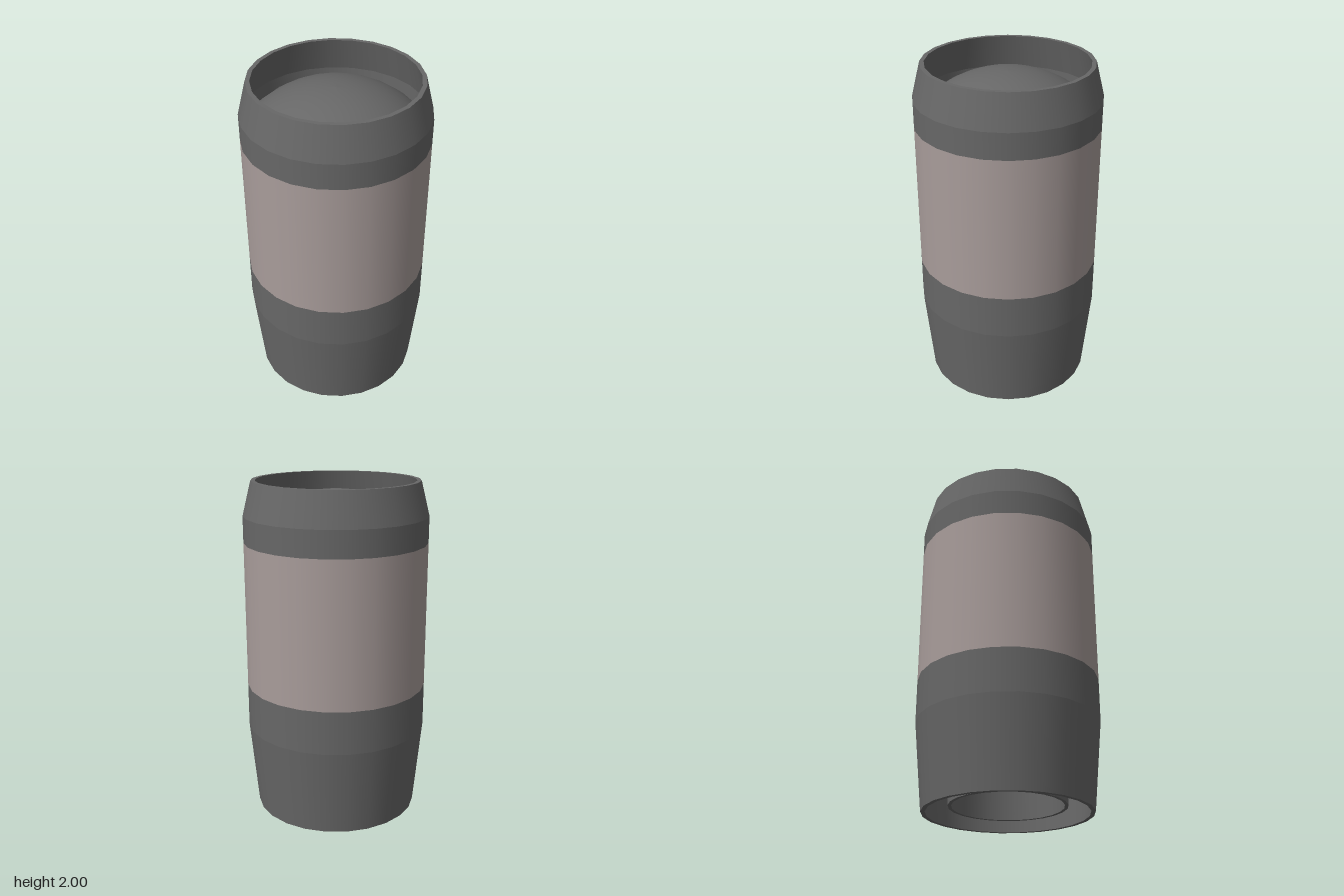
import * as THREE from 'three';
import { mergeGeometries } from 'three/addons/utils/BufferGeometryUtils.js';

const SIDES = 24;

// Lathe whose profile corners stay sharp: one smooth strip per profile segment
function sharpLathe(profile) {
  const strips = [];
  for (let i = 0; i < profile.length - 1; i++) {
    const pair = [profile[i], profile[i + 1]].map(([r, y]) => new THREE.Vector2(r, y));
    strips.push(new THREE.LatheGeometry(pair, SIDES));
  }
  return mergeGeometries(strips);
}

// Spherical cap profile running from the rim (radius r, height y) to the axis
function capProfile(r, y, rise, steps) {
  const R = (r * r + rise * rise) / (2 * rise);
  const a = Math.asin(r / R);
  const points = [];
  for (let i = 0; i <= steps; i++) {
    const t = a * (1 - i / steps);
    points.push(new THREE.Vector2(R * Math.sin(t), y + rise - R + R * Math.cos(t)));
  }
  return points;
}

export function createModel() {
  const model = new THREE.Group();
  model.name = 'lensBarrel';

  const darkGrey = new THREE.MeshStandardMaterial({ color: 0x676767 });
  darkGrey.name = 'dark grey';
  const warmGrey = new THREE.MeshStandardMaterial({ color: 0xa89c9a });
  warmGrey.name = 'warm grey';

  const add = (name, geometry, material) => {
    const mesh = new THREE.Mesh(geometry, material);
    mesh.name = name;
    model.add(mesh);
  };

  // Lower housing: recess ceiling, recess wall, bottom lip, tapered outside, straight collar
  add('lowerHousing', sharpLathe([
    [0.33, 0.52], [0.515, 0.52], [0.465, 0], [0.49, 0], [0.54, 0.52], [0.54, 0.78],
  ]), darkGrey);

  // Grip band, flush with the housing
  add('gripBand', sharpLathe([[0.54, 0.78], [0.54, 1.645]]), warmGrey);

  // Upper housing: collar, tapered outside, top lip and hollow inside
  add('upperHousing', sharpLathe([
    [0.54, 1.645], [0.54, 1.8], [0.49, 2], [0.465, 2], [0.515, 1.8], [0.515, 1.71],
  ]), darkGrey);

  // Domed front lens
  add('frontLens', new THREE.LatheGeometry(capProfile(0.515, 1.715, 0.23, 10), SIDES), darkGrey);

  // Inner tube in the bottom recess
  add('innerTube', sharpLathe([
    [0.32, 0.45], [0.32, 0.04], [0.34, 0.04], [0.34, 0.52],
  ]), darkGrey);

  // Concave lens closing the inner tube, facing down
  add('rearLens', new THREE.LatheGeometry(capProfile(0.32, 0.45, 0.12, 8).reverse(), SIDES), darkGrey);

  return model;
}
